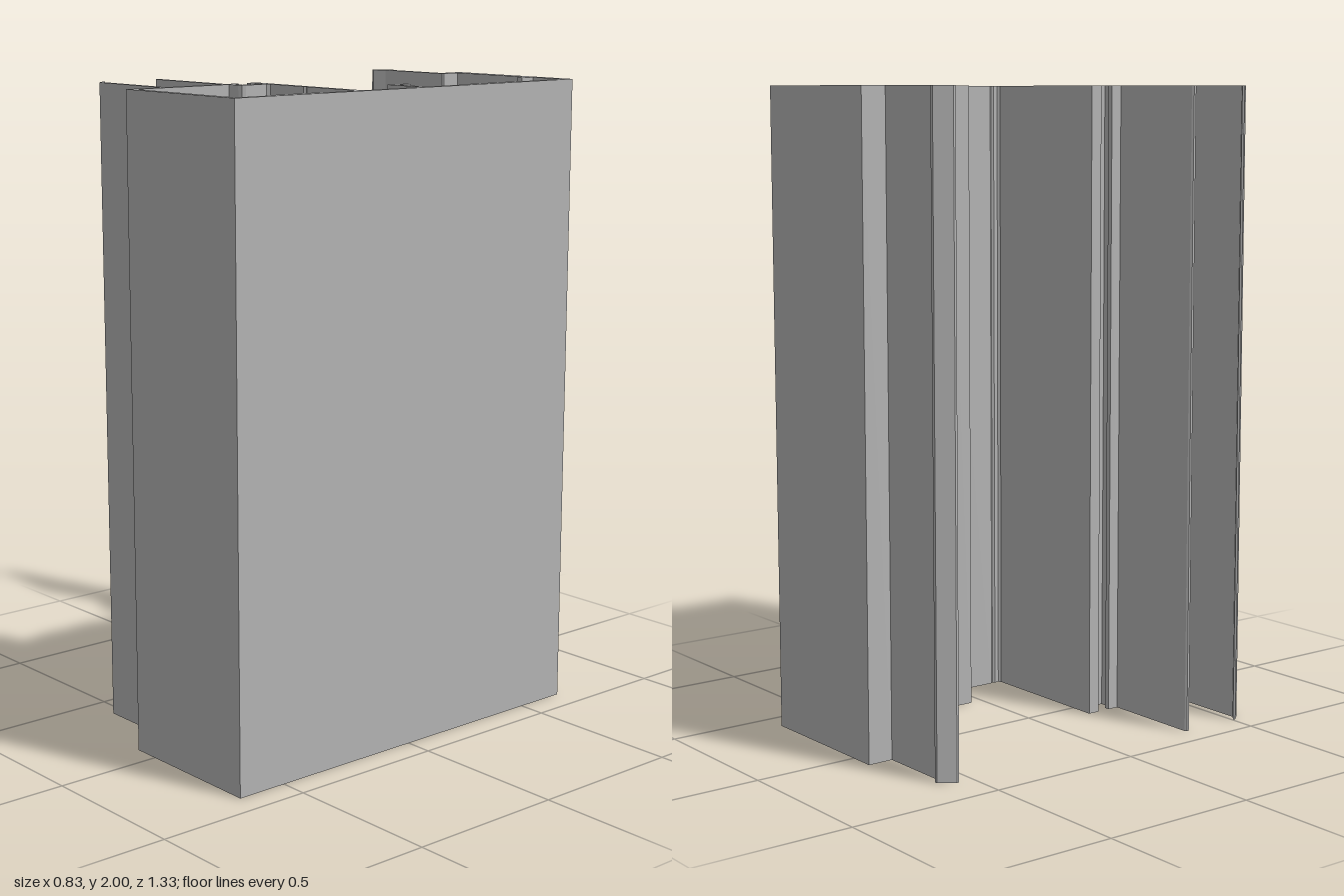
import * as THREE from 'three';

const HEIGHT = 2;
const WALL = 0.393; // inner face of the long side wall

// Cross-section points are [x, z]; the shape is drawn with y = -z
const toPoints = (list) => list.map(([x, z]) => new THREE.Vector2(x, -z));

// Grooved rib pad on the inner face of the side wall, from z0 to z1
function ribPad(z0, z1) {
  const mid = (z0 + z1) / 2, face = WALL - 0.012;
  return [
    [WALL, z0], [face, z0 + 0.012],
    [face, mid - 0.008], [face + 0.006, mid], [face, mid + 0.008],
    [face, z1 - 0.012], [WALL, z1],
  ];
}

// Small V groove cut into the side wall
const groove = (z) => [[WALL, z - 0.007], [WALL + 0.005, z], [WALL, z + 0.007]];

export function createModel() {
  const group = new THREE.Group();
  group.name = 'extrudedFrameProfile';
  const aluminium = new THREE.MeshStandardMaterial({ color: 0xb3b3b3 });
  aluminium.name = 'greyAluminium';

  const outline = [
    // side wall and back wall
    [0.414, 0.664], [0.414, -0.667], [-0.083, -0.667], [-0.083, -0.585],
    // back arm with barbed end
    [-0.331, -0.585], [-0.327, -0.597], [-0.332, -0.604], [-0.341, -0.603],
    [-0.375, -0.556], [-0.374, -0.548], [-0.366, -0.546], [-0.327, -0.564],
    [-0.058, -0.564], [-0.053, -0.569], [-0.053, -0.63],
    // back lip
    [0.25, -0.63], [0.25, -0.591], [0.272, -0.591], [0.272, -0.641],
    [0.386, -0.641], [WALL, -0.634],
    ...ribPad(-0.47, -0.236),
    // hooked shelf
    [WALL, -0.067], [0.272, -0.067], [0.272, -0.118], [0.25, -0.118],
    [0.25, -0.043], [WALL, -0.043],
    ...groove(0.155),
    // cross wall and seal slot
    [WALL, 0.176], [0.386, 0.183], [-0.083, 0.183], [-0.083, 0.221],
    [-0.066, 0.221], [-0.066, 0.203], [-0.023, 0.203], [-0.023, 0.285],
    [-0.066, 0.285], [-0.066, 0.264], [-0.083, 0.264], [-0.083, 0.3],
    // middle arm
    [-0.41, 0.3], [-0.416, 0.304], [-0.416, 0.312], [-0.41, 0.317], [-0.083, 0.317],
    // front arm with turned tip
    [-0.083, 0.523], [-0.392, 0.523], [-0.412, 0.506], [-0.417, 0.511],
    [-0.393, 0.539], [-0.083, 0.539], [-0.083, 0.664],
  ];

  // Closed hollow chamber at the front
  const chamber = [
    [0.386, 0.203], [0.172, 0.203], [0.165, 0.198], [0.158, 0.203],
    [0.006, 0.203], [-0.002, 0.211],
    [-0.002, 0.29], [-0.007, 0.301], [-0.018, 0.306], [-0.061, 0.306],
    [-0.061, 0.634], [-0.054, 0.641], [0.386, 0.641], [WALL, 0.634],
    ...ribPad(0.301, 0.534).reverse(),
    [WALL, 0.21],
  ];

  const section = new THREE.Shape(toPoints(outline));
  section.holes.push(new THREE.Path(toPoints(chamber)));

  // Sweep the section straight up
  const geometry = new THREE.ExtrudeGeometry(section, { depth: HEIGHT, bevelEnabled: false });
  geometry.rotateX(-Math.PI / 2);

  const profile = new THREE.Mesh(geometry, aluminium);
  profile.name = 'frameProfile';
  group.add(profile);
  return group;
}
